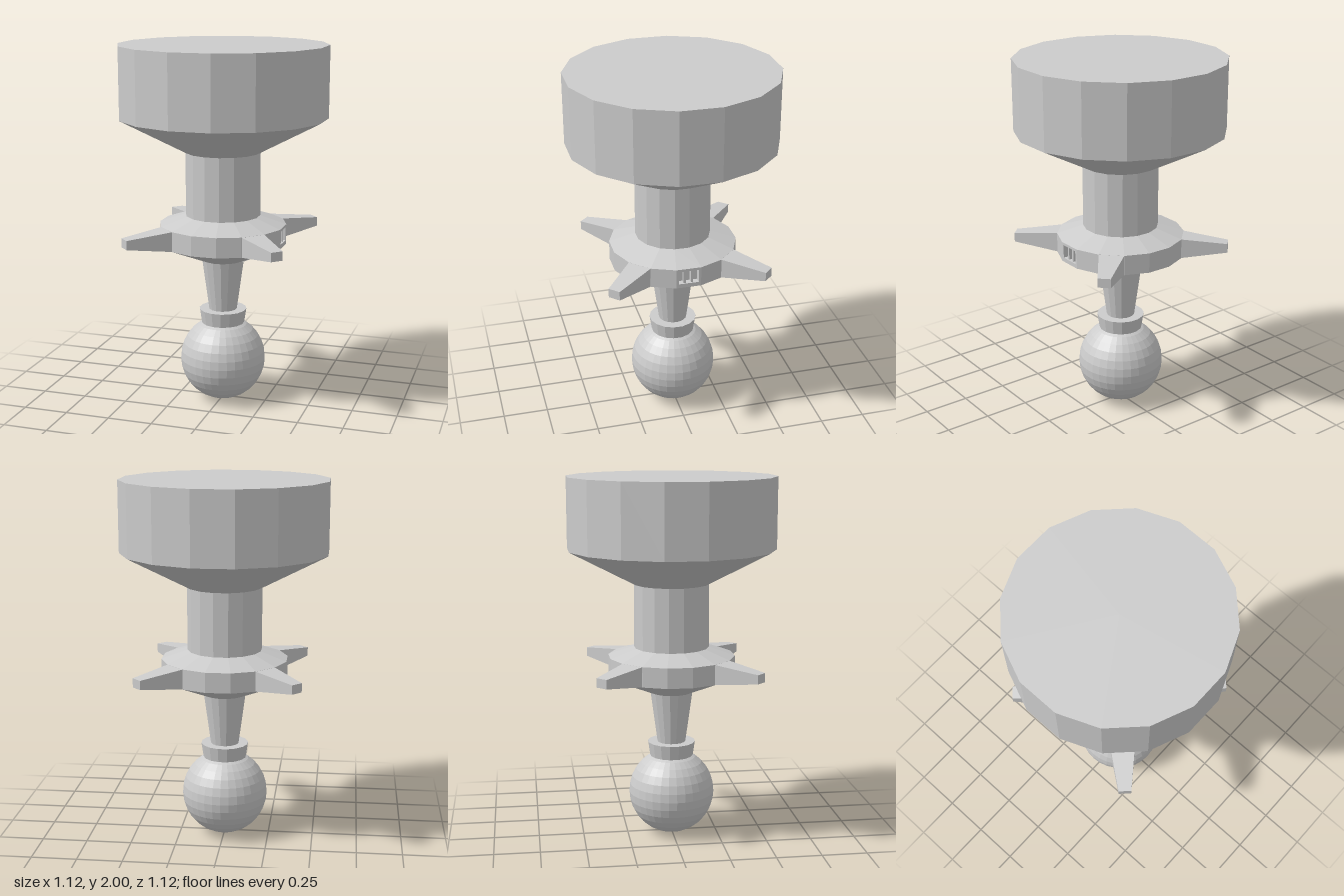
import * as THREE from 'three';

const SIDES = 16;
const STEP = (Math.PI * 2) / SIDES;

export function createModel() {
  const model = new THREE.Group();
  const mat = new THREE.MeshStandardMaterial({ color: 0xcccccc, flatShading: true, side: THREE.DoubleSide });

  const add = (name, geometry, parent = model) => {
    const mesh = new THREE.Mesh(geometry, mat);
    mesh.name = name;
    parent.add(mesh);
    return mesh;
  };

  // Sixteen-sided turned part with flats facing the axes; profile is [radius, y] from bottom to top
  const turned = (name, profile) => add(name, new THREE.LatheGeometry(
    profile.map(([r, y]) => new THREE.Vector2(r, y)), SIDES, STEP / 2));

  // Box along +x that tapers from a base section to a tip section
  const taper = (x0, x1, w0, w1, [b0, t0], [b1, t1]) => {
    const g = new THREE.BoxGeometry(1, 1, 1);
    const p = g.attributes.position;
    for (let i = 0; i < p.count; i++) {
      const tip = p.getX(i) > 0;
      const top = p.getY(i) > 0;
      p.setXYZ(i, tip ? x1 : x0, tip ? (top ? t1 : b1) : (top ? t0 : b0), p.getZ(i) * (tip ? w1 : w0));
    }
    g.computeVertexNormals();
    return g;
  };

  // Ball, collar and stem
  add('ball', new THREE.SphereGeometry(0.238, 32, 16)).position.y = 0.241;
  turned('collar', [[0, 0.45], [0.12, 0.45], [0.132, 0.53], [0, 0.53]]);
  turned('stem', [[0.077, 0.52], [0.117, 0.815]]);

  // Disc slopes, column and head
  const R = 0.35, low = 0.912, high = 1.022;
  turned('discUnderside', [[0, 0.815], [0.117, 0.815], [R, low]]);
  turned('discTop', [[R, high], [0.206, 1.07]]);
  turned('column', [[0.206, 1.07], [0.206, 1.42]]);
  turned('head', [[0.206, 1.42], [0.57, 1.61], [0.57, 2], [0, 2]]);

  // Disc rim, left open on the +x facet for the socket panel
  add('discRim', new THREE.LatheGeometry(
    [new THREE.Vector2(R, low), new THREE.Vector2(R, high)],
    SIDES - 1, Math.PI / 2 + STEP / 2, STEP * (SIDES - 1)));

  // Recessed socket in the +x facet
  const flat = R * Math.cos(STEP / 2);
  const half = R * Math.sin(STEP / 2);
  const rect = (Type, w, y0, y1) => new Type([[-w, y0], [w, y0], [w, y1], [-w, y1]]
    .map(([x, y]) => new THREE.Vector2(x, y)));
  const panel = rect(THREE.Shape, half, low, high);
  panel.holes.push(rect(THREE.Path, 0.055, 0.935, 1.008));
  const depth = 0.04;
  const panelGeo = new THREE.ExtrudeGeometry(panel, { depth, bevelEnabled: false });
  panelGeo.rotateY(Math.PI / 2).translate(flat - depth, 0, 0);
  const socket = new THREE.Group();
  socket.name = 'socket';
  model.add(socket);
  add('socketPanel', panelGeo, socket);
  add('socketBack', new THREE.BoxGeometry(0.01, 0.09, 0.12), socket).position.set(flat - depth, 0.97, 0);
  for (const z of [-0.02, 0.02]) {
    add('socketBar', new THREE.BoxGeometry(0.03, 0.073, 0.012), socket).position.set(flat - 0.023, 0.9715, z);
  }

  // Small rib on the underside below the socket
  add('undersideRib', taper(0.12, 0.22, 0.06, 0.02, [0.812, 0.83], [0.855, 0.87]));

  // Four diagonal spikes drawn out of the rim facets
  for (let i = 0; i < 4; i++) {
    const spike = add('spike', taper(flat - 0.005, 0.592, half * 2, 0.068, [low, high], [0.945, 0.995]));
    spike.rotation.y = Math.PI / 4 + (i * Math.PI) / 2;
  }

  return model;
}
